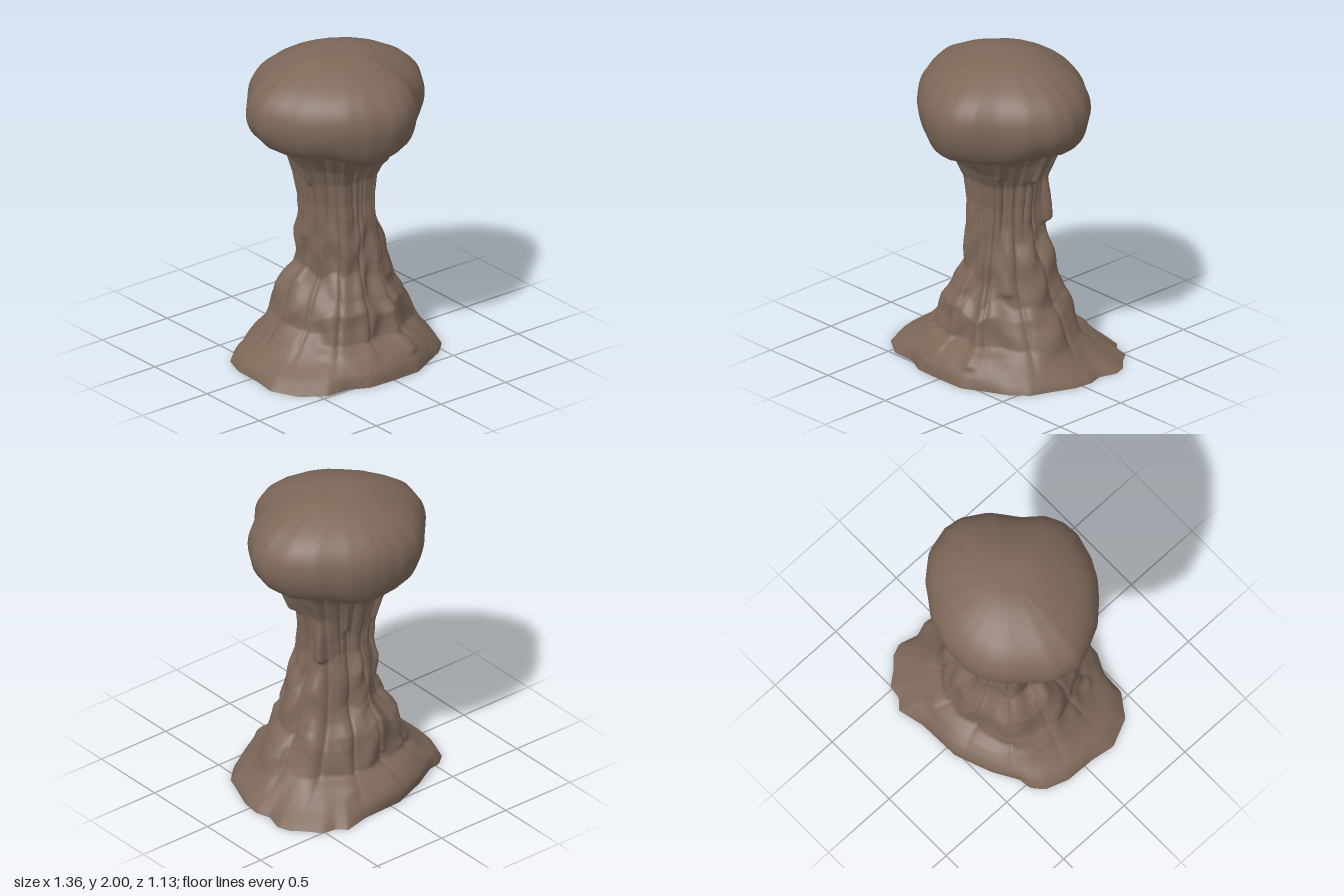
import * as THREE from 'three';

const TAU = Math.PI * 2;
const smooth = (a, b, v) => THREE.MathUtils.smoothstep(v, a, b);

// Closed outline [x, z] -> radius as a function of angle, straight between points
function polarOutline(points) {
  const p = points.map(([x, z]) => ({ x, z, a: (Math.atan2(z, x) + TAU) % TAU }))
    .sort((m, n) => m.a - n.a);
  const n = p.length;
  return (angle) => {
    const t = ((angle % TAU) + TAU) % TAU;
    let k = p.findIndex((q) => q.a > t);
    if (k < 0) k = n;
    const lo = p[(k - 1 + n) % n], hi = p[k % n];
    const dx = hi.x - lo.x, dz = hi.z - lo.z;
    return (lo.x * dz - lo.z * dx) / (Math.cos(t) * dz - Math.sin(t) * dx);
  };
}

// Linear lookup in rows that start with their key
function lookup(rows, y) {
  let k = rows.findIndex((r) => r[0] >= y);
  if (k < 0) k = rows.length - 1;
  if (k === 0) return rows[0];
  const a = rows[k - 1], b = rows[k];
  const u = Math.min(1, (y - a[0]) / (b[0] - a[0]));
  return a.map((v, i) => v + (b[i] - v) * u);
}

// Smooth closed-ring surface from point(angle, v), v running 0..1 upwards
function ringSurface(segments, rows, point) {
  const pos = [], index = [];
  for (let j = 0; j <= rows; j++) {
    for (let i = 0; i < segments; i++) {
      pos.push(...point((i / segments) * TAU, j / rows));
      if (j === rows) continue;
      const a = j * segments + i, b = j * segments + (i + 1) % segments;
      index.push(a, a + segments, b, b, a + segments, b + segments);
    }
  }
  const g = new THREE.BufferGeometry();
  g.setAttribute('position', new THREE.Float32BufferAttribute(pos, 3));
  g.setIndex(index);
  g.computeVertexNormals();
  return g;
}

const capOutline = polarOutline([
  [0.585, 0], [0.535, -0.165], [0.42, -0.31], [0.24, -0.43], [0.1, -0.485], [0, -0.505],
  [-0.125, -0.505], [-0.27, -0.46], [-0.37, -0.39], [-0.47, -0.28], [-0.565, -0.165], [-0.605, 0],
  [-0.57, 0.11], [-0.49, 0.26], [-0.38, 0.37], [-0.28, 0.46], [-0.16, 0.525], [0, 0.56],
  [0.11, 0.55], [0.22, 0.5], [0.32, 0.385], [0.47, 0.26], [0.57, 0.11],
]);

const footOutline = polarOutline([
  [0.66, 0.055], [0.675, -0.07], [0.645, -0.16], [0.68, -0.275], [0.65, -0.355], [0.58, -0.42],
  [0.515, -0.505], [0.43, -0.515], [0.37, -0.57], [0.205, -0.53], [-0.07, -0.52], [-0.3, -0.43],
  [-0.45, -0.345], [-0.53, -0.335], [-0.6, -0.275], [-0.65, -0.13], [-0.655, 0.055], [-0.68, 0.21],
  [-0.6, 0.385], [-0.455, 0.485], [-0.3, 0.49], [-0.18, 0.55], [0, 0.555], [0.19, 0.55],
  [0.31, 0.485], [0.46, 0.41], [0.555, 0.32], [0.6, 0.2],
]);

// Column reach: y, +x, -x, +z, -z
const column = [
  [0, 0.62, 0.64, 0.55, 0.55], [0.07, 0.56, 0.59, 0.54, 0.53], [0.12, 0.545, 0.53, 0.51, 0.5],
  [0.17, 0.53, 0.495, 0.46, 0.45], [0.21, 0.52, 0.475, 0.395, 0.375], [0.29, 0.49, 0.41, 0.385, 0.365],
  [0.38, 0.44, 0.395, 0.375, 0.355], [0.45, 0.385, 0.37, 0.32, 0.34], [0.53, 0.37, 0.325, 0.29, 0.28],
  [0.6, 0.355, 0.25, 0.27, 0.25], [0.7, 0.325, 0.245, 0.265, 0.245], [0.82, 0.27, 0.26, 0.26, 0.24],
  [0.94, 0.25, 0.25, 0.25, 0.205], [1.05, 0.25, 0.25, 0.245, 0.215], [1.2, 0.265, 0.27, 0.26, 0.26],
  [1.3, 0.315, 0.3, 0.31, 0.29], [1.37, 0.345, 0.345, 0.365, 0.32], [1.42, 0.38, 0.385, 0.4, 0.355],
  [1.47, 0.42, 0.42, 0.42, 0.39],
];

// Single drips: angle, width, bottom y, top y, bulge
const drips = [
  [-0.52, 0.24, 0.9, 1.25, 0.055], [0.15, 0.13, 1.22, 1.6, 0.04], [0.85, 0.09, 1.25, 1.6, 0.03],
  [-0.3, 0.3, 0.42, 0.95, 0.015], [0.75, 0.22, 0.5, 0.95, 0.025], [1.2, 0.13, 0.1, 0.8, 0.025],
  [1.75, 0.2, 0.12, 0.7, 0.015], [2.35, 0.22, 0.15, 0.6, 0.03], [3.3, 0.25, 0.1, 0.5, 0.015],
  [3.95, 0.24, 0.2, 0.7, 0.03], [4.5, 0.16, 0.25, 0.85, 0.02], [5.15, 0.22, 0.12, 0.6, 0.025],
  [4.2, 0.1, 1.12, 1.6, 0.03], [2.9, 0.1, 1.18, 1.6, 0.025], [5.1, 0.12, 1.1, 1.6, 0.03],
];

function columnPoint(angle, v) {
  const y = v * 1.47;
  const c = Math.cos(angle), s = Math.sin(angle);
  // Lobes break at uneven heights around the lower column
  const uneven = (Math.sin(angle * 5 + 1) + Math.sin(angle * 9 + 2.3)) * 0.02;
  const band = smooth(0.2, 0.4, y) * (1 - smooth(0.75, 1, y));
  const [, px, nx, pz, nz] = lookup(column, y + uneven * band);
  let r = 1 / Math.hypot(c / (c > 0 ? px : nx), s / (s > 0 ? pz : nz));
  // Spreading foot
  r = THREE.MathUtils.lerp(r, footOutline(angle), Math.pow(Math.max(0, 1 - y / 0.2), 2));
  // Folds running down, cut by narrow creases
  const w = angle + 0.05 * Math.sin(y * 5 + 2 * angle);
  const fold = smooth(0.03, 0.25, y);
  const fine = smooth(0.8, 1.1, y);
  r += fold * (0.01 * Math.sin(7 * w) + 0.006 * Math.sin(12 * w + 1) - 0.012);
  r -= fold * 0.02 * Math.pow(1 - Math.abs(Math.sin(5.5 * w + 0.5)), 4);
  r -= fine * 0.018 * Math.pow(1 - Math.abs(Math.sin(10 * w + 0.8)), 3);
  // Soft swellings
  r += 0.006 * fold * (1 - fine) * Math.sin(y * 24 + 3 * Math.sin(angle * 4));
  for (const [a, width, y0, y1, bulge] of drips) {
    const d = Math.atan2(Math.sin(angle - a), Math.cos(angle - a)) / width;
    r += bulge * Math.exp(-d * d * 2) * smooth(y0 - 0.01, y0 + 0.04, y) * (1 - smooth(y1 - 0.25, y1, y));
  }
  return [r * c, y, r * s];
}

// Cap section: share of the outline, height
const capCurve = new THREE.CatmullRomCurve3([
  [0.58, 1.46], [0.68, 1.43], [0.78, 1.43], [0.88, 1.47], [0.96, 1.55], [1, 1.65], [0.985, 1.73],
  [0.93, 1.795], [0.85, 1.845], [0.75, 1.887], [0.6, 1.932], [0.45, 1.967], [0.3, 1.99],
  [0.15, 2], [0, 2],
].map(([r, y]) => new THREE.Vector3(r, y, 0)));

function capPoint(angle, v) {
  const p = capCurve.getPoint(v);
  const c = Math.cos(angle), s = Math.sin(angle);
  const low = 1 - smooth(1.42, 1.65, p.y);
  const lump = 1 + 0.006 * Math.sin(angle * 7 + p.y * 6) * smooth(0.3, 0.9, p.x);
  const r = Math.max(0, p.x) * capOutline(angle) * lump;
  // The rim hangs lower at front and back than at the sides
  const y = Math.min(2, p.y + low * (0.05 * c * c - 0.02 + 0.012 * Math.sin(angle * 6)));
  return [r * c, y, r * s];
}

export function createModel() {
  const group = new THREE.Group();
  group.name = 'drippingColumn';
  const stone = new THREE.MeshStandardMaterial({ color: 0x7d6859, side: THREE.DoubleSide });
  stone.name = 'brown stone';
  const add = (name, geometry) => {
    const mesh = new THREE.Mesh(geometry, stone);
    mesh.name = name;
    group.add(mesh);
  };
  add('columnAndFoot', ringSurface(240, 130, columnPoint));
  add('cap', ringSurface(120, 48, capPoint));
  return group;
}
